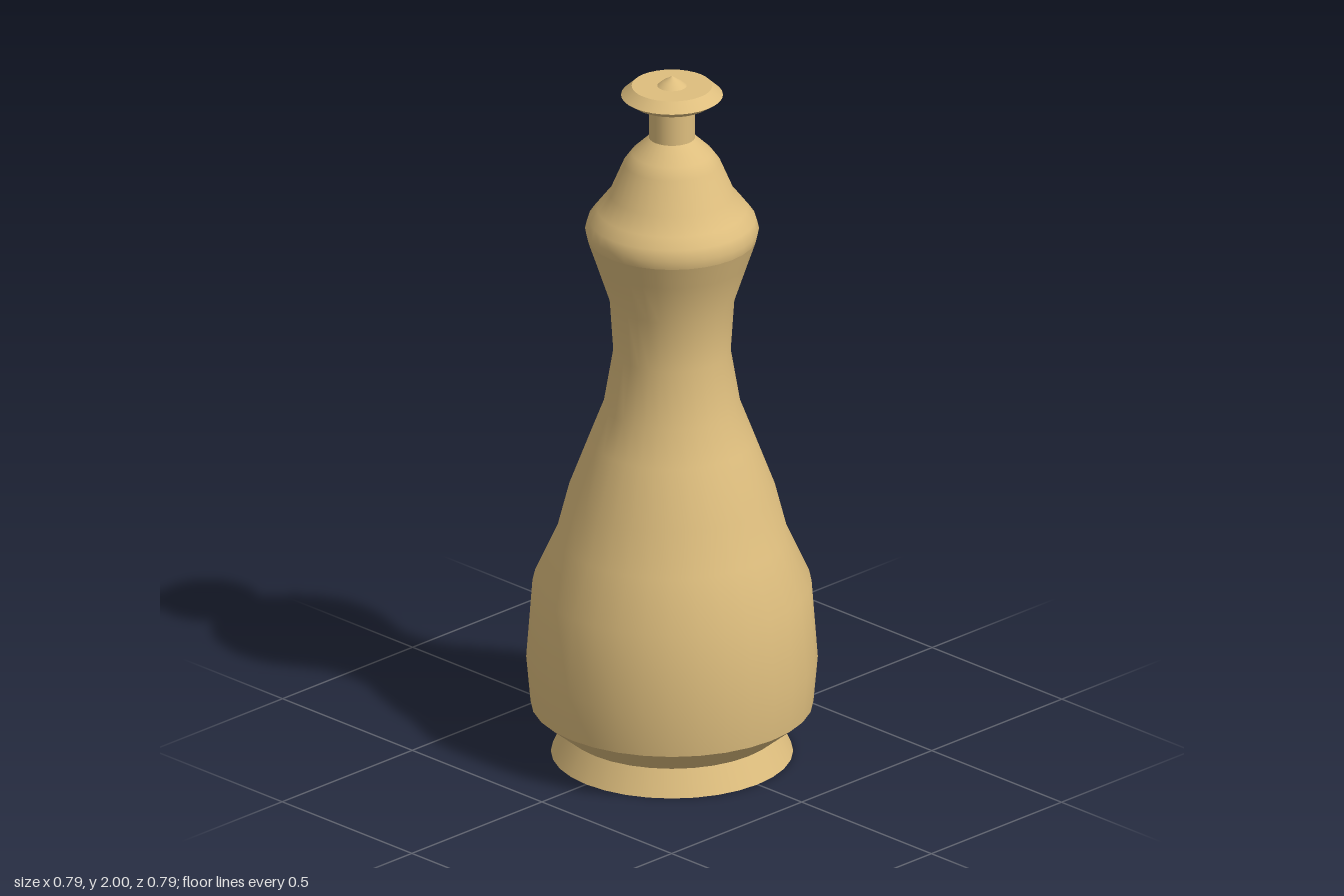
import * as THREE from 'three';

const SIDES = 32;

export function createModel() {
  const model = new THREE.Group();
  const wood = new THREE.MeshStandardMaterial({ color: 0xdebe7e });
  wood.name = 'pale wood';

  // One smooth turned surface; sharp edges fall between separate sections.
  // Profiles are [radius, height], running from the underside up to the tip.
  const turn = (name, profile) => {
    const points = profile.map(([r, y]) => new THREE.Vector2(r, y));
    const mesh = new THREE.Mesh(new THREE.LatheGeometry(points, SIDES), wood);
    mesh.name = name;
    model.add(mesh);
  };

  // Underside: central boss inside a shallow ring groove
  turn('undersideBoss', [[0, 0.01], [0.12, 0.01]]);
  turn('undersideGrooveInner', [[0.12, 0.01], [0.165, 0.03]]);
  turn('undersideGrooveOuter', [[0.165, 0.03], [0.24, 0]]);
  turn('undersideRim', [[0.24, 0], [0.33, 0]]);

  // Flared foot and the bevel under the body
  turn('foot', [[0.33, 0], [0.295, 0.073]]);
  turn('lowerBevel', [[0.295, 0.073], [0.385, 0.147]]);

  // Body narrowing to the waist, then flaring to the shoulder
  turn('body', [
    [0.385, 0.147], [0.397, 0.28], [0.38, 0.505], [0.317, 0.645],
    [0.285, 0.77], [0.225, 0.93], [0.187, 1.03], [0.16, 1.19],
    [0.17, 1.34], [0.21, 1.46], [0.232, 1.525],
  ]);
  turn('shoulder', [
    [0.232, 1.525], [0.237, 1.55], [0.228, 1.58], [0.205, 1.61],
    [0.17, 1.655], [0.132, 1.745], [0.11, 1.775], [0.063, 1.82],
  ]);

  // Neck and the cap with its small tip
  turn('neck', [[0.063, 1.82], [0.063, 1.925]]);
  turn('capUnderside', [[0.063, 1.925], [0.11, 1.925]]);
  turn('capLowerEdge', [[0.11, 1.925], [0.139, 1.945]]);
  turn('capUpperEdge', [[0.139, 1.945], [0.11, 1.972]]);
  turn('capTop', [[0.11, 1.972], [0.04, 1.972]]);
  turn('tip', [[0.04, 1.972], [0.025, 1.985], [0, 2]]);

  return model;
}
